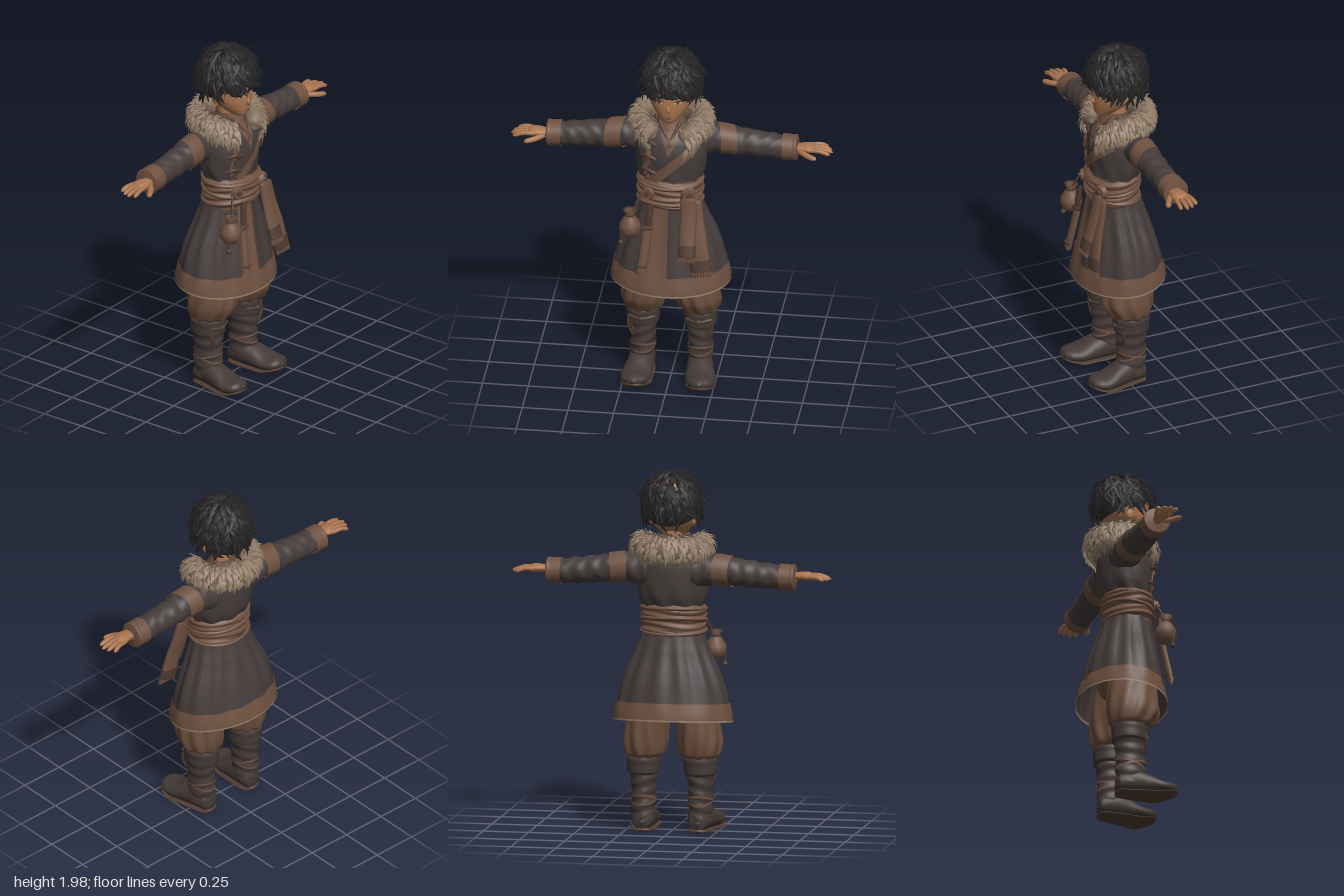
import * as THREE from 'three';
import { mergeGeometries } from 'three/addons/utils/BufferGeometryUtils.js';
import { ParametricGeometry } from 'three/addons/geometries/ParametricGeometry.js';

const { sin, cos, PI, max, min, sqrt, asin } = Math;
const V = (x, y, z) => new THREE.Vector3(x, y, z);
const lerp = THREE.MathUtils.lerp;
let seed = 7;
const rnd = () => (seed = (seed * 16807) % 2147483647) / 2147483647;
const jit = (k) => (rnd() - 0.5) * 2 * k;

const paint = (name, color) => new THREE.MeshStandardMaterial({ name, color, side: THREE.DoubleSide });
const M = {
  coat: paint('charcoal coat', 0x453c3b), trim: paint('brown trim', 0x6f5140),
  pants: paint('brown trousers', 0x6b4e3c), boots: paint('dark boots', 0x433936),
  hair: paint('black hair', 0x272425), skin: paint('skin', 0xa9744f),
  fur: paint('pale fur', 0x97826d), furShade: paint('fur undercoat', 0x7d6a58),
  leather: paint('dark leather', 0x4f3b30), eye: paint('eye white', 0xc2a88e),
};

// Rings are [y, centreX, centreZ, radiusX, radiusZ, tilt], smoothed between rows
const cr = (a, b, c, d, t) => b + 0.5 * t * (c - a + t * (2 * a - 5 * b + 4 * c - d + t * (3 * (b - c) + d - a)));
function ring(R, y) {
  let i = 0;
  while (i < R.length - 2 && y > R[i + 1][0]) i++;
  const t = min(1, max(0, (y - R[i][0]) / (R[i + 1][0] - R[i][0])));
  const row = (k) => R[min(R.length - 1, max(0, k))];
  return [1, 2, 3, 4, 5].map((k) => cr(row(i - 1)[k] || 0, row(i)[k] || 0, row(i + 1)[k] || 0, row(i + 2)[k] || 0, t));
}
function surf(R, a, y, out, p, wob) {
  const [cx, cz, rx, rz, tilt] = ring(R, y);
  const o = out + (wob ? wob(a, y) : 0);
  return p.set(cx + (rx + o) * sin(a), y - tilt * cos(a), cz + (rz + o) * cos(a));
}
const loft = (R, { y0 = R[0][0], y1 = R[R.length - 1][0], out = 0, nu = 40, nv = 20, wob } = {}) =>
  new ParametricGeometry((u, v, p) => surf(R, u * 2 * PI, lerp(y0, y1, v), out, p, wob), nu, nv);
// Sheet laid on the front of a loft; xy(u, v) gives the place on it
const patch = (R, xy, out = 0.005, nu = 8, nv = 16, wob) => new ParametricGeometry((u, v, p) => {
  const [x, y] = xy(u, v);
  const [cx, , rx] = ring(R, y);
  surf(R, asin(max(-1, min(1, (x - cx) / rx))), y, out, p, wob);
}, nu, nv);
const leaf = (R, x, y, w, h, out, slant = 0) => patch(R, (u, v) =>
  [x + w * (u - 0.5), y + slant * (u - 0.5) + h * (v - 0.5) * (0.15 + sin(PI * u))], out, 8, 2);

// Tapering strand with an elliptical section along a curve
const point = (v) => max(0.03, (1 - v) ** 0.75 * min(1, 0.55 + 2 * v));
const blunt = (v) => max(0.03, sqrt(max(0, 1 - v ** 10)));
const capped = (v) => max(0.03, sqrt(max(0, 1 - (2 * v - 1) ** 24)));
function strand(pts, w, d, prof = capped, ref = V(0, 0, 1), nu = 8, nv = 14) {
  const c = new THREE.CatmullRomCurve3(pts);
  return new ParametricGeometry((u, v, p) => {
    const T = c.getTangent(v), S = T.clone().cross(ref).normalize(), N = S.clone().cross(T);
    const k = prof(v), a = u * 2 * PI;
    p.copy(c.getPoint(v)).addScaledVector(S, cos(a) * w * k).addScaledVector(N, -sin(a) * d * k);
  }, nu, nv);
}
function mirror(g) {
  const m = g.clone().scale(-1, 1, 1);
  m.index.array.reverse();
  return m;
}

export function createModel() {
  const model = new THREE.Group();
  model.name = 'travellerInFurCollaredCoat';
  const add = (name, geo, mat) => {
    const m = new THREE.Mesh(Array.isArray(geo) ? mergeGeometries(geo) : geo, mat);
    m.name = name;
    model.add(m);
  };
  const pair = (name, geo, mat) => {
    const g = Array.isArray(geo) ? mergeGeometries(geo) : geo;
    add(name + 'Left', g, mat);
    add(name + 'Right', mirror(g), mat);
  };

  // Upper coat with a diagonal lapel and cord fastenings
  const torso = [[1.22, 0, 0.01, 0.165, 0.125], [1.3, 0, -0.002, 0.188, 0.14], [1.4, 0, -0.004, 0.198, 0.147],
    [1.48, 0, -0.012, 0.195, 0.135], [1.53, 0, -0.02, 0.165, 0.11], [1.57, 0, -0.03, 0.09, 0.08]];
  add('coatBody', loft(torso, { wob: (a, y) => 0.004 * sin(9 * a + y * 20) * max(0, 1.4 - y) * 8 }), M.coat);
  add('lapel', patch(torso, (u, v) => [lerp(-0.13, 0.11, v) + 0.055 * u, lerp(1.245, 1.47, v) - 0.02 * u], 0.009), M.trim);
  add('undershirt', patch(torso, (u, v) => [lerp(0, 0.015, v) + (u - 0.5) * 0.13 * v, lerp(1.41, 1.55, v)], 0.007), M.trim);
  add('neckband', loft([[1.48, 0, 0.01, 0.12, 0.11], [1.55, 0, 0, 0.085, 0.085], [1.61, 0, -0.005, 0.07, 0.068]]), M.trim);
  const onChest = (x, y, o) => surf(torso, asin(x / ring(torso, y)[2]), y, o, V(0, 0, 0));
  add('shirtOverlap', [strand([V(-0.06, 1.59, 0.055), V(-0.025, 1.53, 0.095), onChest(0.02, 1.46, 0.008)], 0.009, 0.005),
    strand([V(0.06, 1.59, 0.055), V(0.03, 1.53, 0.095), onChest(-0.01, 1.45, 0.008)], 0.009, 0.005)], M.leather);
  const frogs = [1.3, 1.39, 1.47].flatMap((y) => [
    strand([onChest(-0.15, y, 0.006), onChest(-0.11, y + 0.012, 0.012), onChest(-0.06, y - 0.005, 0.006)], 0.011, 0.008),
    new THREE.TorusGeometry(0.018, 0.006, 6, 12).translate(...onChest(-0.1, y - 0.02, 0.008))]);
  add('frogFastenings', frogs, M.leather);
  add('fasteningCord', strand([1.49, 1.4, 1.32, 1.25].map((y, i) => onChest(-0.125 + 0.02 * (i % 2), y, 0.006)), 0.014, 0.006), M.trim);

  // Flared skirt, hem band, fur edge and front panel
  const skirt = [[0.615, -0.004, -0.02, 0.322, 0.235, 0.027], [0.72, -0.003, -0.02, 0.304, 0.212, 0.02],
    [0.85, -0.002, -0.018, 0.268, 0.184, 0.01], [1.0, 0, -0.006, 0.205, 0.152, 0], [1.12, 0, 0.004, 0.165, 0.13, 0]];
  const folds = (a, y) => 0.007 * sin(13 * a + 0.6) * sin(PI * min(1, max(0, (1.12 - y) / 0.5)));
  add('coatSkirt', loft(skirt, { wob: folds, nu: 80, nv: 24 }), M.coat);
  add('hemBand', loft(skirt, { y1: 0.712, out: 0.006, wob: folds, nu: 80, nv: 6 }), M.trim);
  add('hemFurEdge', loft(skirt, { y0: 0.609, y1: 0.618, out: 0.008, wob: folds, nu: 80, nv: 2 }), M.fur);
  add('frontPanel', patch(skirt, (u, v) => [lerp(lerp(-0.135, -0.085, v), 0, u), lerp(0.62, 1.1, v)], 0.008, 12, 24, folds), M.trim);

  // Sash wrapped in overlapping bands, with rosettes
  const sash = [[1.075, -0.003, 0.012, 0.165, 0.128], [1.1, -0.003, 0.014, 0.178, 0.142], [1.16, -0.003, 0.016, 0.175, 0.14],
    [1.22, -0.003, 0.014, 0.182, 0.143], [1.25, -0.003, 0.012, 0.168, 0.128]];
  add('sash', loft(sash, { nu: 56, nv: 40, wob: (a, y) => 0.004 * sin(y * 150 + 2 * sin(a * 2)) }), M.trim);
  const wrap = (y, t) => loft([[y - 0.02, -0.003, 0.014, 0.17, 0.135, t], [y, -0.003, 0.014, 0.187, 0.151, t], [y + 0.02, -0.003, 0.014, 0.17, 0.135, t]], { nv: 8 });
  add('sashWraps', [wrap(1.225, 0.012), wrap(1.105, -0.012), wrap(1.165, 0.02)], M.trim);
  const disc = (x, r, z) => new THREE.CylinderGeometry(r * 0.8, r, 0.024, 20).rotateX(PI / 2).rotateY(x * 3).translate(x, 1.18, z);
  add('beltRosettes', [disc(-0.11, 0.038, 0.142), disc(0.115, 0.045, 0.142)], M.trim);
  add('rosetteCentres', [disc(-0.113, 0.016, 0.152), disc(0.119, 0.02, 0.152)], M.leather);

  // Hanging sash tails with dark woven ends
  const tail = (pts, w) => {
    const p = pts.map((q) => V(...q)), end = p[p.length - 1], dir = end.clone().sub(p[p.length - 2]).normalize();
    const at = (s) => end.clone().addScaledVector(dir, s);
    add('sashTail', strand(p, w, 0.019, capped, V(0, 0, 1), 12, 24), M.trim);
    add('sashTailWeave', strand([at(-0.075), at(-0.04), at(0)], w * 1.06, 0.024, capped, V(0, 0, 1), 12, 20), M.leather);
    add('sashTailFringe', [-3, -2, -1, 0, 1, 2, 3].map((i) =>
      strand([at(-0.005), at(0.012), at(0.03)].map((q) => q.add(V(i * w * 0.29, 0, 0))), w * 0.16, 0.012, blunt, V(0, 0, 1), 6, 6)), M.trim);
  };
  tail([[0.11, 1.18, 0.155], [0.115, 1.08, 0.17], [0.115, 0.96, 0.2], [0.114, 0.845, 0.235]], 0.045);
  tail([[0.13, 1.16, 0.14], [0.145, 1.04, 0.16], [0.17, 0.9, 0.192], [0.192, 0.755, 0.215]], 0.055);

  // Drawstring pouch and sheathed knife on the right hip
  const lathe = (pts) => new THREE.LatheGeometry(pts.map((q) => new THREE.Vector2(...q)), 20);
  add('pouch', lathe([[0.001, -0.068], [0.038, -0.058], [0.06, -0.025], [0.057, 0.01], [0.034, 0.05], [0.019, 0.066], [0.038, 0.095], [0.02, 0.09]])
    .translate(-0.205, 0.99, 0.165), M.trim);
  add('pouchStrings', [
    new THREE.TorusGeometry(0.021, 0.006, 6, 16).rotateX(PI / 2).translate(-0.205, 1.056, 0.165),
    strand([V(-0.19, 1.05, 0.17), V(-0.17, 1.12, 0.15), V(-0.14, 1.18, 0.13)], 0.007, 0.007),
    strand([V(-0.22, 1.05, 0.17), V(-0.25, 0.98, 0.19), V(-0.252, 0.9, 0.19)], 0.005, 0.005),
    new THREE.SphereGeometry(0.015, 10, 8).translate(-0.252, 0.895, 0.19)], M.leather);
  add('knifeSheath', strand([V(-0.108, 0.99, 0.17), V(-0.12, 0.86, 0.195), V(-0.138, 0.715, 0.222)], 0.027, 0.016), M.trim);
  add('knifeHandle', [strand([V(-0.09, 1.13, 0.165), V(-0.098, 1.06, 0.172), V(-0.106, 0.99, 0.175)], 0.018, 0.015),
    strand([V(-0.14, 0.98, 0.175), V(-0.108, 0.985, 0.18), V(-0.075, 0.99, 0.175)], 0.012, 0.018),
    strand([V(-0.155, 0.77, 0.215), V(-0.131, 0.77, 0.218), V(-0.107, 0.77, 0.215)], 0.01, 0.02)], M.leather);

  // Sleeves, slanted armbands and cuffs: lofted upright, then laid along x
  const arm = [[0.12, -0.01, 0, 0.1, 0.085], [0.25, -0.02, 0, 0.081, 0.078], [0.4, -0.005, 0, 0.075, 0.073],
    [0.55, 0.008, 0, 0.069, 0.068], [0.66, 0.012, 0, 0.065, 0.067], [0.685, 0.012, 0, 0.063, 0.065], [0.69, 0.012, 0, 0.02, 0.02]];
  const lay = (g) => g.rotateZ(-PI / 2).translate(0, 1.43, -0.045);
  const creases = (a, y) => 0.004 * sin(y * 75 + 2 * sin(a + 1)) * sin(2 * a + y * 9);
  pair('sleeve', lay(loft(arm, { y1: 0.66, wob: creases, nv: 60 })), M.coat);
  const band = arm.map((r) => [...r, -0.022]);
  pair('armband', lay(loft(band, { y0: 0.255, y1: 0.345, out: 0.007, nv: 8 })), M.trim);
  pair('cuff', lay(loft(arm, { y0: 0.605, out: 0.006, nv: 18 })), M.trim);

  // Hands with spread fingers
  const up = V(0, 1, 0), fingers = [[-0.072, 0.85, -0.092], [-0.05, 0.872, -0.058], [-0.025, 0.882, -0.026], [0, 0.868, 0.008]];
  pair('hand', [strand([V(0.66, 1.424, -0.033), V(0.72, 1.428, -0.034), V(0.755, 1.427, -0.036), V(0.79, 1.422, -0.036)], 0.046, 0.024,
    (v) => blunt(v) * (0.72 + 0.28 * min(1, v * 1.8)), up, 14, 16),
  ...fingers.map(([z, x, tz]) => strand([V(0.75, 1.426, z), V(0.81, 1.427, lerp(z, tz, 0.5)), V(x, 1.41, tz)], 0.0135, 0.0125, blunt, up)),
  strand([V(0.7, 1.415, -0.01), V(0.745, 1.408, 0.028), V(0.8, 1.402, 0.056)], 0.017, 0.015, blunt, up)], M.skin);

  // Baggy trousers
  const leg = [[0.405, 0.155, -0.022, 0.08, 0.085], [0.435, 0.152, -0.015, 0.11, 0.12], [0.5, 0.15, -0.003, 0.121, 0.143],
    [0.6, 0.138, -0.002, 0.116, 0.142], [0.74, 0.122, 0, 0.108, 0.13]];
  pair('trouserLeg', loft(leg, { nu: 60, wob: (a, y) => 0.006 * sin(9 * a + 14 * y) * min(1, (0.75 - y) * 4) }), M.pants);
  add('trouserSeat', loft([[0.62, 0, 0, 0.04, 0.05], [0.66, 0, 0, 0.15, 0.11], [0.74, 0, 0, 0.21, 0.14], [0.85, 0, 0, 0.18, 0.13]]), M.pants);

  // Boots: wrinkled shaft, folded cuff, foot, sole and straps
  const shaft = [[0.06, 0.157, -0.03, 0.064, 0.074], [0.14, 0.157, -0.024, 0.065, 0.08], [0.24, 0.157, -0.022, 0.067, 0.082], [0.35, 0.157, -0.024, 0.076, 0.088]];
  pair('bootShaft', loft(shaft, { nv: 40, wob: (a, y) => 0.003 * sin(y * 95 + 2 * sin(a)) }), M.boots);
  pair('bootCuff', loft([[0.315, 0.157, -0.025, 0.07, 0.08], [0.325, 0.157, -0.025, 0.088, 0.097], [0.37, 0.157, -0.025, 0.091, 0.099],
    [0.405, 0.157, -0.025, 0.093, 0.101], [0.415, 0.157, -0.022, 0.078, 0.085]]), M.boots);
  const foot = [[-0.107, 0.155, -0.055, 0.001, 0.001], [-0.095, 0.155, -0.066, 0.05, 0.052], [-0.02, 0.157, -0.082, 0.067, 0.075],
    [0.06, 0.167, -0.07, 0.076, 0.066], [0.14, 0.177, -0.054, 0.083, 0.045], [0.2, 0.18, -0.056, 0.068, 0.037],
    [0.228, 0.18, -0.06, 0.04, 0.023], [0.238, 0.18, -0.062, 0.001, 0.001]];
  const flat = (g, lo) => {
    const p = g.rotateX(PI / 2).attributes.position;
    for (let i = 0; i < p.count; i++) p.setY(i, max(p.getY(i), lo));
    return g;
  };
  pair('bootFoot', flat(loft(foot, { nv: 40 }), 0.016), M.boots);
  const sole = foot.map(([z, x, , rx]) => [z, x, -0.014 - max(0, z - 0.14) * 0.3, rx, min(rx, 0.012)]);
  pair('bootSole', flat(loft(sole, { nv: 40 }), 0.006), M.leather);
  const strap = (y, t) => loft([[y - 0.006, 0.157, -0.023, 0.067, 0.082, t], [y + 0.006, 0.157, -0.023, 0.067, 0.082, t]], { nv: 2, out: 0.004 });
  pair('bootStraps', [strap(0.18, 0.025), strap(0.18, -0.025)], M.trim);
  pair('bootTies', [strand([V(0.08, 0.375, 0.05), V(0.157, 0.365, 0.072), V(0.235, 0.375, 0.05)], 0.012, 0.007),
    new THREE.SphereGeometry(0.016, 10, 8).scale(1, 1, 0.6).translate(0.157, 0.365, 0.076),
    ...[0.21, 0.228].map((x) => strand([V(x, 0.37, 0.045), V(x, 0.31, 0.05), V(x - 0.03, 0.245, 0.045)], 0.007, 0.006))], M.leather);

  // Head and face
  const head = [[1.594, 0, 0.075, 0.015, 0.022], [1.607, 0, 0.06, 0.045, 0.055], [1.65, 0, 0.034, 0.085, 0.09], [1.7, 0, 0.014, 0.115, 0.115],
    [1.77, 0, -0.002, 0.13, 0.13], [1.85, 0, -0.01, 0.134, 0.138], [1.92, 0, -0.014, 0.105, 0.11], [1.96, 0, -0.014, 0.04, 0.04]];
  add('head', loft(head, { nv: 32 }), M.skin);
  add('neck', new THREE.CylinderGeometry(0.052, 0.06, 0.2, 20).translate(0, 1.58, -0.01), M.skin);
  add('nose', strand([V(0, 1.735, 0.121), V(0, 1.695, 0.127), V(0, 1.665, 0.128)], 0.012, 0.016, (v) => max(0.03, sin(PI * v ** 1.6))), M.skin);
  pair('ear', new THREE.SphereGeometry(0.03, 12, 10).scale(0.35, 1, 0.7).translate(0.118, 1.71, -0.01), M.skin);
  pair('eyeWhite', leaf(head, 0.05, 1.732, 0.046, 0.015, 0.002), M.eye);
  pair('iris', leaf(head, 0.05, 1.732, 0.016, 0.015, 0.004), M.leather);
  pair('upperLash', leaf(head, 0.052, 1.742, 0.056, 0.007, 0.005, 0.003), M.hair);
  pair('eyebrow', leaf(head, 0.053, 1.762, 0.064, 0.009, 0.004, 0.012), M.hair);
  add('mouth', leaf(head, 0, 1.634, 0.045, 0.005, 0.003), M.leather);

  // Tousled hair: a scalp cap, rings of curved locks around the crown and stray wisps
  const scalp = (a, p, o, t = V(0, 0, 0)) => {
    const r = p < PI / 2 ? sin(p) : 1 - 0.4 * (1 - sin(p));
    return t.set((0.147 + o) * r * sin(a), 1.812 + (0.153 + o) * cos(p), -0.012 + (0.153 + o) * r * cos(a));
  };
  add('hairCap', new ParametricGeometry((u, v, t) => scalp(u * 2 * PI, 0.01 + (1.95 - 0.5 * cos(u * 2 * PI)) * (1 - v), 0, t), 36, 18), M.hair);
  const locks = [];
  const lock = (a, p0, p1, sw, lift, w) => {
    const pts = [[0, -0.005], [0.35, 0.016], [0.7, 0.022], [1, lift]].map(([k, o]) => scalp(a + sw * k * k, lerp(p0, p1, k), o));
    locks.push(strand(pts, w, w * 0.42, point, pts[1].clone().sub(V(0, 1.81, -0.012)).normalize(), 5, 7));
  };
  [[0.05, 12], [0.35, 20], [0.65, 28], [0.95, 36], [1.25, 42], [1.5, 44]].forEach(([p0, n]) => {
    for (let i = 0; i < n; i++) {
      const a = ((i + jit(0.5)) / n) * 2 * PI, p = p0 + jit(0.12);
      const end = 2.26 - 0.46 * cos(a) + jit(0.13);
      lock(a, min(p, end - 0.4), min(p + 0.75 + jit(0.25), end), jit(0.45), 0.008 + rnd() * 0.04, 0.021 + rnd() * 0.014);
    }
  });
  for (let i = 0; i < 44; i++) {
    const p = 0.25 + rnd() * 1.1;
    lock(i * 2.4, p, p + 0.45 + rnd() * 0.2, jit(0.7), 0.04 + rnd() * 0.025, 0.011);
  }
  add('hairLocks', locks, M.hair);

  // Draped fur collar: a padded roll, low in front, covered in rows of splayed tufts
  const path = [V(-0.08, 1.5, 0.1), V(-0.125, 1.53, 0.072), V(-0.168, 1.56, -0.01), V(-0.127, 1.565, -0.11), V(0, 1.565, -0.16),
    V(0.127, 1.565, -0.11), V(0.168, 1.56, -0.01), V(0.13, 1.525, 0.072), V(0.078, 1.475, 0.105)];
  add('collarRoll', strand(path, 0.057, 0.07, capped, up, 14, 60), M.furShade);
  const loop = new THREE.CatmullRomCurve3(path), tufts = [];
  for (let q = 0; q < 8; q++) for (let i = 0; i <= 38; i++) {
    const P = loop.getPointAt(min(1, max(0, (i + jit(0.6)) / 38)));
    const O = V(P.x, 0, P.z + 0.02).normalize(), ang = 2.8 - q * 0.5 + jit(0.15);
    const dir = (b) => O.clone().multiplyScalar(cos(b)).addScaledVector(up, 1.2 * sin(b));
    const side = V(O.z, 0, -O.x).multiplyScalar(jit(0.03)), len = 0.8 + rnd() * 0.35, tip = 0.072 + rnd() * 0.016;
    const pts = [[0, 0.051], [0.45, 0.066], [len, tip]].map(([s, r]) => P.clone().addScaledVector(dir(ang - s), r).addScaledVector(side, s));
    tufts.push(strand(pts, 0.021 + rnd() * 0.008, 0.005, point, dir(ang - 0.4), 5, 5));
  }
  add('collarTufts', tufts, M.fur);
  return model;
}
